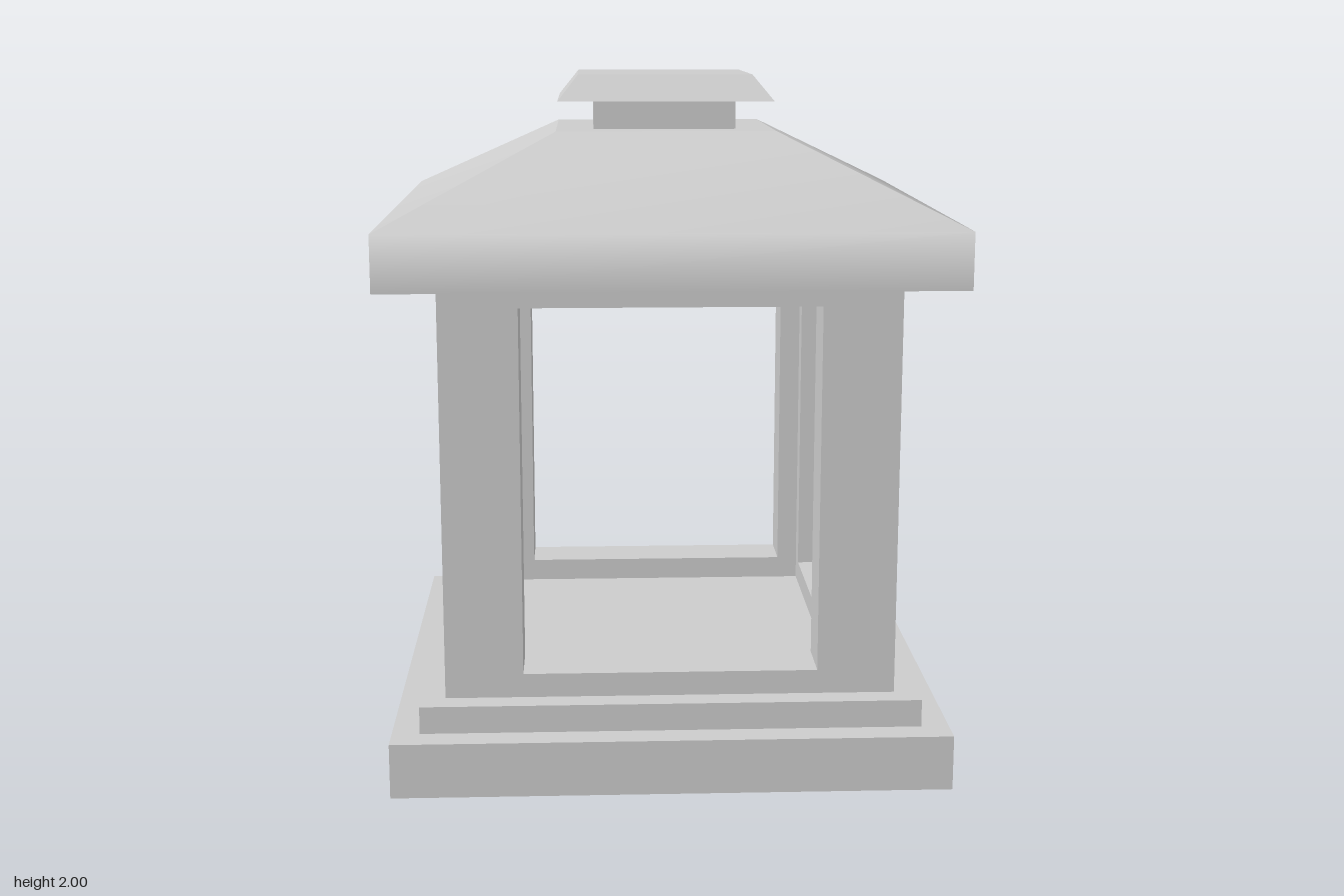
import * as THREE from 'three';
import { mergeVertices, mergeGeometries } from 'three/addons/utils/BufferGeometryUtils.js';

const flat = new THREE.MeshStandardMaterial({ color: 0xcccccc, flatShading: true });
const shell = new THREE.MeshStandardMaterial({ color: 0xcccccc, side: THREE.DoubleSide });

function add(parent, name, geometry, material = flat) {
  const mesh = new THREE.Mesh(geometry, material);
  mesh.name = name;
  parent.add(mesh);
  return mesh;
}

// Square slab centred on the axis, from y0 to y1
function slab(half, y0, y1) {
  return new THREE.BoxGeometry(half * 2, y1 - y0, half * 2).translate(0, (y0 + y1) / 2, 0);
}

function rectangle(PathType, half, y0, y1) {
  return new PathType([[-half, y0], [half, y0], [half, y1], [-half, y1]]
    .map(([x, y]) => new THREE.Vector2(x, y)));
}

// Wall panel with a window opening, outer face at +z
function wall(half) {
  const shape = rectangle(THREE.Shape, half, 0.24, 1.44);
  shape.holes.push(rectangle(THREE.Path, 0.425, 0.31, 1.375));
  return new THREE.ExtrudeGeometry(shape, { depth: 0.16, bevelEnabled: false }).translate(0, 0, 0.49);
}

// Four mitred strips following a [half-width, height] profile:
// smooth along the profile, sharp at the hips
function squareLoft(profile) {
  const points = profile.flatMap(([r, y]) => [-r, y, r, r, y, r]);
  const index = [];
  for (let i = 0; i < profile.length - 1; i++) {
    const a = i * 2;
    index.push(a, a + 1, a + 3, a, a + 3, a + 2);
  }
  const strip = new THREE.BufferGeometry();
  strip.setAttribute('position', new THREE.Float32BufferAttribute(points, 3));
  strip.setIndex(index);
  const side = mergeVertices(strip);
  side.computeVertexNormals();
  return mergeGeometries([0, 1, 2, 3].map((k) => side.clone().rotateY(k * Math.PI / 2)));
}

export function createModel() {
  const model = new THREE.Group();
  model.name = 'lantern';

  // Stepped base
  add(model, 'basePlinth', slab(0.8, 0, 0.16));
  add(model, 'baseStep', slab(0.72, 0.16, 0.24));

  // Four window frames; the side ones fit between front and back
  ['frontFrame', 'leftFrame', 'backFrame', 'rightFrame'].forEach((name, k) => {
    add(model, name, wall(k % 2 ? 0.49 : 0.65)).rotation.y = k * Math.PI / 2;
  });

  // Hollow roof: fascia and slope, flat soffit ring, flat top
  const roof = new THREE.Group();
  roof.name = 'roof';
  model.add(roof);
  add(roof, 'roofSlope', squareLoft([[0.81, 1.44], [0.81, 1.6], [0.32, 1.84]]), shell);
  add(roof, 'soffit', squareLoft([[0.49, 1.44], [0.81, 1.44]]), shell);
  add(roof, 'roofTop', new THREE.PlaneGeometry(0.64, 0.64).rotateX(-Math.PI / 2).translate(0, 1.84, 0), shell);

  // Chimney neck and tapered cap
  add(model, 'chimneyNeck', slab(0.21, 1.84, 1.925));
  const cap = new THREE.CylinderGeometry(0.255 * Math.SQRT2, 0.315 * Math.SQRT2, 0.075, 4);
  add(model, 'chimneyCap', cap.rotateY(Math.PI / 4).translate(0, 1.9625, 0));

  return model;
}
